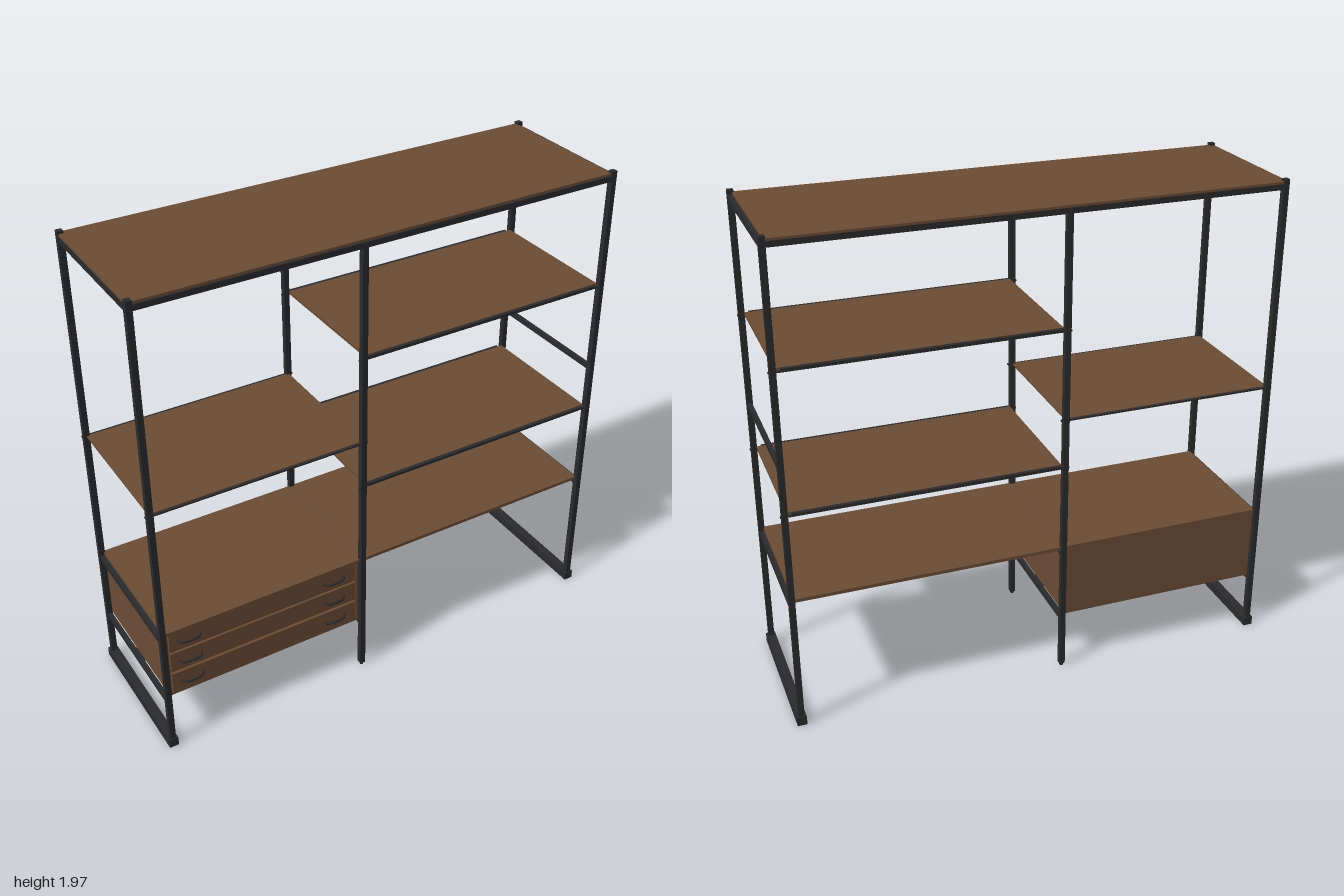
import * as THREE from 'three';

export function createModel() {
  const model = new THREE.Group();
  model.name = 'shelvingUnit';

  const wood = new THREE.MeshStandardMaterial({ color: 0x6b4c35 });
  wood.name = 'walnut wood';
  const metal = new THREE.MeshStandardMaterial({ color: 0x2b2b2d });
  metal.name = 'black metal';

  // Box given by its min and max on each axis
  function box(name, mat, [x0, x1], [y0, y1], [z0, z1]) {
    const mesh = new THREE.Mesh(new THREE.BoxGeometry(x1 - x0, y1 - y0, z1 - z0), mat);
    mesh.position.set((x0 + x1) / 2, (y0 + y1) / 2, (z0 + z1) / 2);
    mesh.name = name;
    model.add(mesh);
    return mesh;
  }
  const around = (c, w) => [c - w / 2, c + w / 2];

  const L = -0.978, M = -0.111, R = 0.978; // post positions
  const Z = 0.29;
  const W = 0.023;

  // Upright posts
  for (const z of [-Z, Z]) {
    for (const x of [L, R]) box('endPost', metal, around(x, W), [0, 1.967], around(z, W));
    box('middlePost', metal, around(M, W), [0.012, 1.945], around(z, W));
    const tip = new THREE.Mesh(new THREE.CylinderGeometry(0.011, 0.007, 0.012, 12), metal);
    tip.position.set(M, 0.006, z);
    tip.name = 'middlePostTip';
    model.add(tip);
  }

  // Floor runners and end rails
  for (const x of [L, R]) {
    box('floorRunner', metal, around(x, 0.038), [0, 0.037], [-0.307, 0.307]);
    box('topEndRail', metal, around(x, 0.02), [1.925, 1.95], [-Z, Z]);
  }
  box('topMiddleRail', metal, around(M, 0.02), [1.925, 1.944], [-Z, Z]);
  for (const z of [-Z, Z]) box('topLongRail', metal, [L, R], [1.927, 1.949], around(z, 0.018));
  box('rightBrace', metal, around(R, 0.016), [1.1, 1.121], [-Z, Z]);

  // Top board
  box('topBoard', wood, [-0.986, 0.972], [1.945, 1.958], [-0.298, 0.292]);

  // Two right-hand shelves on cross bars
  for (const y of [1.486, 0.921]) {
    box('rightShelf', wood, [M + 0.012, R - 0.01], [y - 0.003, y + 0.008], [-0.283, 0.283]);
    for (const z of [-Z, Z]) {
      box('shelfEdgeBar', metal, [M + 0.012, 0.95], [y - 0.004, y + 0.007], around(z, 0.014));
      box('shelfEdgePin', metal, [M - 0.018, R + 0.016], [y - 0.007, y - 0.001], around(z, 0.008));
    }
    for (let i = 0; i < 7; i++) {
      box('shelfCrossBar', metal, around(0.02 + i * 0.138, 0.014), [y - 0.009, y - 0.001], [-Z, Z]);
    }
  }

  // Left-hand shelf
  box('leftShelf', wood, [L, M], [1.117, 1.124], [-0.284, 0.284]);
  for (const z of [-Z, Z]) {
    box('leftShelfPin', metal, [-0.995, -0.092], [1.116, 1.122], around(z, 0.01));
  }

  // Desk boards, split at the middle posts, with rails below
  box('deskBoard', wood, [M + 0.001, R - 0.008], [0.548, 0.562], [-0.288, 0.288]);
  box('cabinetTop', wood, [L + 0.008, M - 0.001], [0.548, 0.562], [-0.288, 0.288]);
  for (const x of [L, M, R]) box('deskRail', metal, around(x, 0.018), [0.523, 0.547], [-Z, Z]);

  // Drawer cabinet
  const c0 = -0.966, c1 = -0.123;
  for (const x of [c0 + 0.006, c1 - 0.006]) {
    box('cabinetSide', wood, around(x, 0.012), [0.243, 0.548], [-0.28, 0.28]);
  }
  box('cabinetBack', wood, [c0, c1], [0.243, 0.548], [-0.284, -0.272]);
  box('cabinetBottom', wood, [c0, c1], [0.243, 0.255], [-0.272, 0.28]);
  box('cabinetInner', wood, [c0 + 0.012, c1 - 0.012], [0.255, 0.548], [-0.272, 0.262]);
  for (const x of [L, M]) box('cabinetRail', metal, around(x, 0.018), [0.222, 0.243], [-Z, Z]);
  box('cabinetSupport', metal, [L, M], [0.224, 0.243], [-0.035, 0.035]);

  // Drawer fronts and bow handles
  [0.302, 0.403, 0.502].forEach((y) => {
    box('drawerFront', wood, [c0 + 0.016, c1 - 0.016], around(y, 0.089), [0.262, 0.282]);
    for (const x of [-0.868, -0.238]) {
      const path = new THREE.CatmullRomCurve3([
        [-0.046, 0.28], [-0.04, 0.294], [-0.028, 0.301], [0.028, 0.301], [0.04, 0.294], [0.046, 0.28],
      ].map(([px, pz]) => new THREE.Vector3(x + px, y, pz)));
      const handle = new THREE.Mesh(new THREE.TubeGeometry(path, 24, 0.0045, 8), metal);
      handle.name = 'drawerHandle';
      model.add(handle);
    }
  });

  return model;
}
